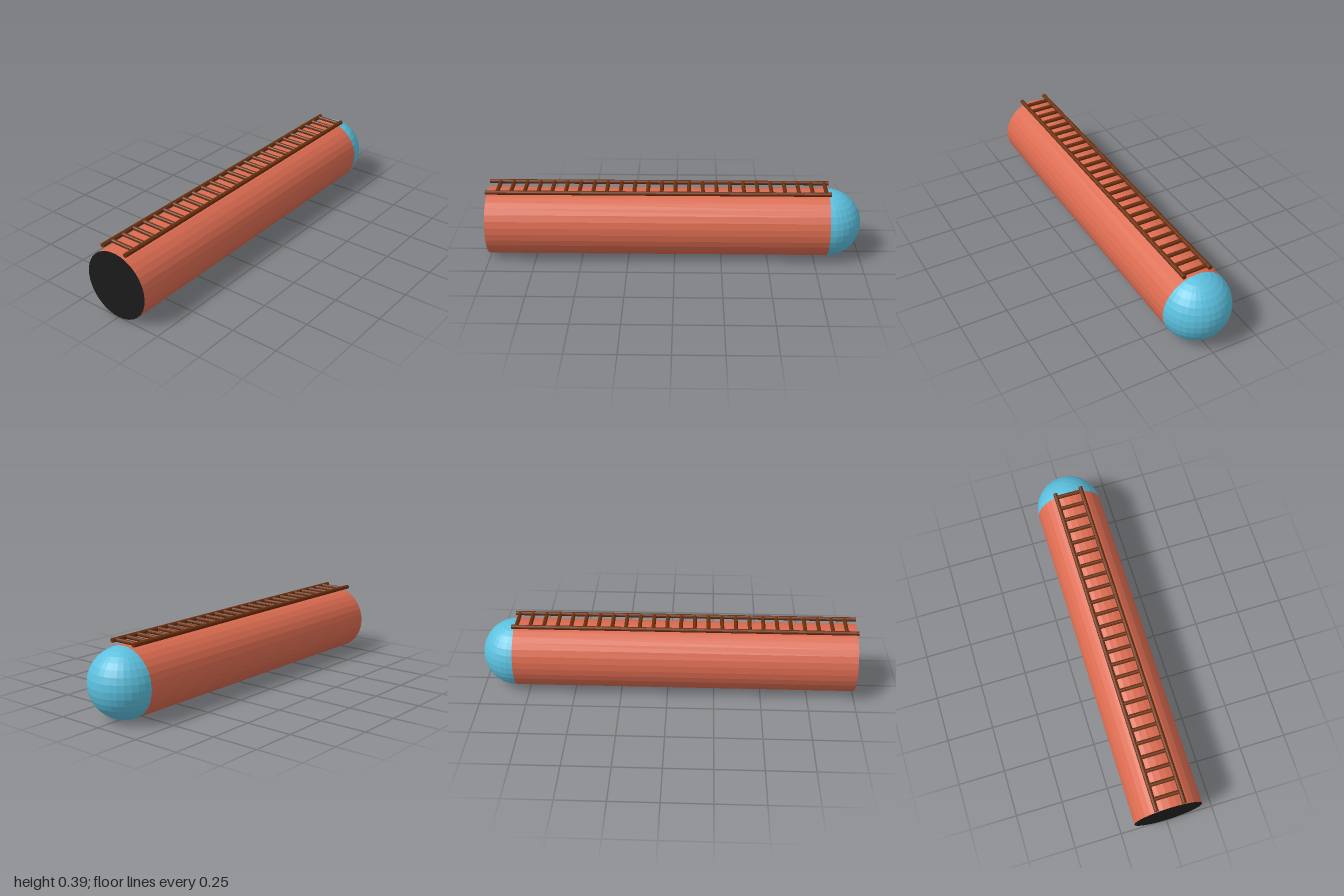
import * as THREE from 'three';

const paint = (name, color) => {
  const m = new THREE.MeshStandardMaterial({ color, flatShading: true });
  m.name = name;
  return m;
};

export function createModel() {
  const coral = paint('coral', 0xdb6b50);
  const blue = paint('sky blue', 0x5bc0de);
  const brown = paint('wood brown', 0x6a2f0e);
  const black = paint('black', 0x1a1a1a);

  const model = new THREE.Group();
  model.name = 'capsuleWithLadder';
  const R = 0.181;      // body radius
  const back = -1;      // flat end
  const front = 1 - R;  // where the dome starts

  const add = (parent, name, geometry, material, x, y, z) => {
    const mesh = new THREE.Mesh(geometry, material);
    mesh.name = name;
    mesh.position.set(x, y, z);
    parent.add(mesh);
    return mesh;
  };

  // Long tube lying along x
  const tube = new THREE.CylinderGeometry(R, R, front - back, 32, 1, true).rotateZ(Math.PI / 2);
  add(model, 'body', tube, coral, (front + back) / 2, R, 0);

  // Dark flat end
  add(model, 'endCap', new THREE.CircleGeometry(R, 32).rotateY(-Math.PI / 2), black, back, R, 0);

  // Half-sphere nose with an upright axis
  const dome = new THREE.SphereGeometry(R, 16, 16, Math.PI / 2, Math.PI);
  add(model, 'nose', dome, blue, front, R, 0);

  // Ladder lying along the top
  const ladder = new THREE.Group();
  ladder.name = 'ladder';
  model.add(ladder);
  const railEnd = 0.825, railY = 0.3765, railZ = 0.072;
  const rail = new THREE.CylinderGeometry(0.0115, 0.0115, railEnd - back, 16).rotateZ(Math.PI / 2);
  for (const side of [1, -1]) {
    add(ladder, side > 0 ? 'frontRail' : 'backRail', rail, brown, (railEnd + back) / 2, railY, side * railZ);
  }
  const rung = new THREE.CylinderGeometry(0.0105, 0.0105, railZ * 2, 12).rotateX(Math.PI / 2);
  for (let i = 0; i < 25; i++) {
    add(ladder, 'rung', rung, brown, -0.939 + i * 0.0725, railY, 0);
  }
  return model;
}
